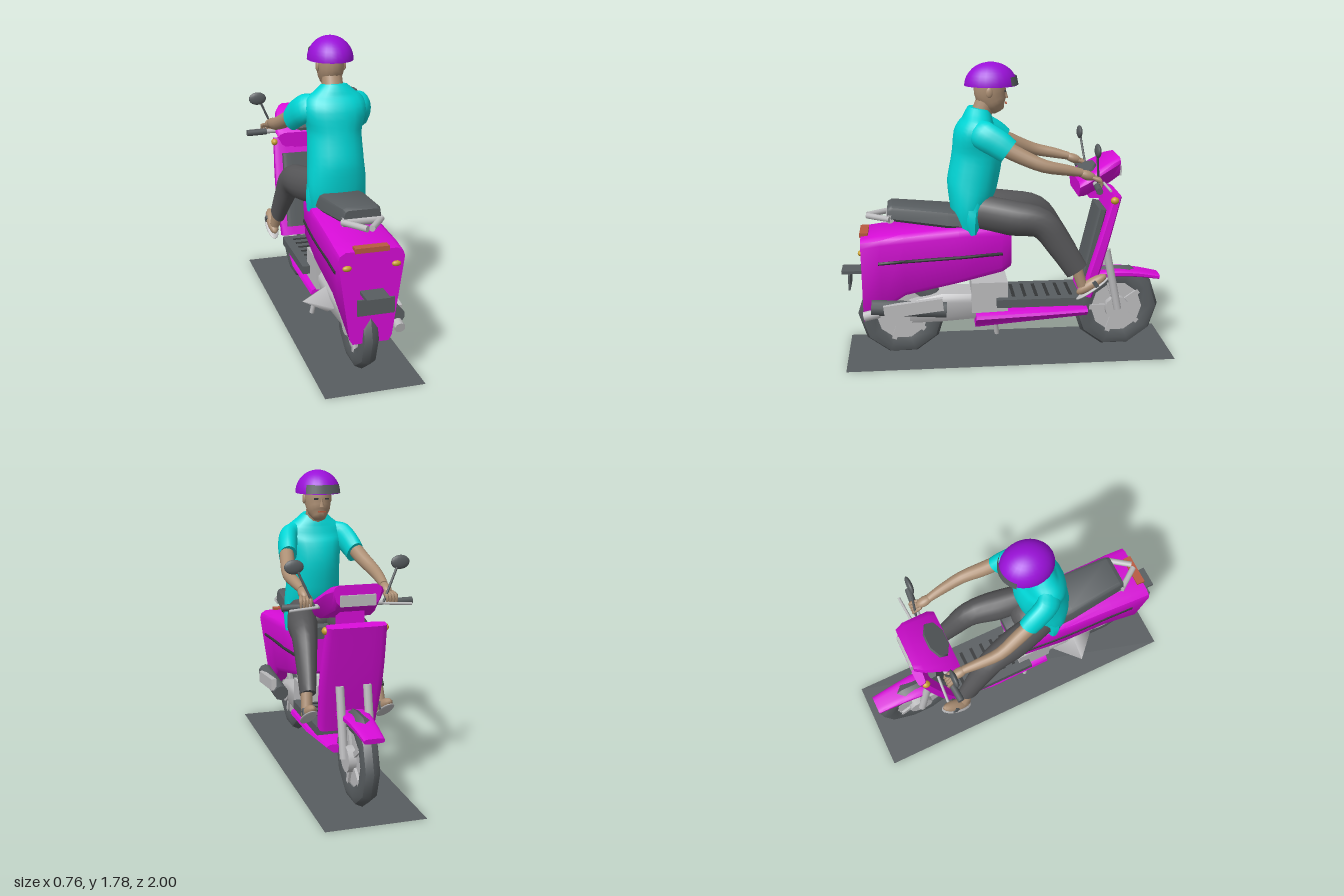
import * as THREE from 'three';
import { toCreasedNormals } from 'three/addons/utils/BufferGeometryUtils.js';

const V = (x, y, z) => new THREE.Vector3(x, y, z);

function material(name, color) {
  const m = new THREE.MeshStandardMaterial({ color });
  m.name = name;
  return m;
}

// Skin a list of equal-length rings, with capped ends; faces are turned outward
function loft(rings, crease = 0.7) {
  const n = rings[0].length, pos = [], idx = [];
  for (const r of rings) for (const p of r) pos.push(p.x, p.y, p.z);
  for (let i = 0; i < rings.length - 1; i++)
    for (let j = 0; j < n; j++) {
      const a = i * n + j, b = i * n + (j + 1) % n;
      idx.push(a, b, a + n, b, b + n, a + n);
    }
  for (const e of [0, rings.length - 1]) {
    const c = rings[e].reduce((s, p) => s.add(p), V(0, 0, 0)).divideScalar(n);
    const k = pos.length / 3;
    pos.push(c.x, c.y, c.z);
    for (let j = 0; j < n; j++) {
      const a = e * n + j, b = e * n + (j + 1) % n;
      if (e === 0) idx.push(k, b, a); else idx.push(k, a, b);
    }
  }
  let vol = 0;
  const at = i => V(pos[3 * i], pos[3 * i + 1], pos[3 * i + 2]);
  for (let i = 0; i < idx.length; i += 3) vol += at(idx[i]).dot(at(idx[i + 1]).cross(at(idx[i + 2])));
  if (vol < 0) idx.reverse();
  const g = new THREE.BufferGeometry();
  g.setAttribute('position', new THREE.Float32BufferAttribute(pos, 3));
  g.setIndex(idx);
  return toCreasedNormals(g, crease);
}

// Tapered tube through [x, y, z, radius sideways, radius across]; low power = boxier
function limb(stops, power = 1, steps = 12, sides = 16) {
  const path = new THREE.CatmullRomCurve3(stops.map(s => V(s[0], s[1], s[2])));
  const size = new THREE.CatmullRomCurve3(stops.map(s => V(s[3], s[4], 0)));
  const rings = [];
  const pw = v => Math.sign(v) * Math.pow(Math.abs(v), power);
  for (let i = 0; i <= steps; i++) {
    const t = i / steps, c = path.getPoint(t), d = path.getTangent(t), r = size.getPoint(t);
    const side = V(1, 0, 0).addScaledVector(d, -d.x).normalize();
    const up = d.clone().cross(side);
    rings.push(Array.from({ length: sides }, (_, j) => {
      const a = (j + 0.5) / sides * Math.PI * 2;
      return c.clone().addScaledVector(side, r.x * pw(Math.cos(a))).addScaledVector(up, r.y * pw(Math.sin(a)));
    }));
  }
  return loft(rings, power < 1 ? 0.6 : 1.2);
}

// Bevelled shell along z from [z, top, bottom, half width at top, half width at bottom]
function shell(sections) {
  return loft(sections.map(([z, t, b, wt, wb]) => {
    const c = Math.min(0.05, (t - b) * 0.3);
    const half = [[wt * 0.78, t], [wt * 0.95, t - c * 0.4], [wt, t - c], [wb, b + c * 0.6], [wb * 0.85, b]];
    return [...half.map(([x, y]) => V(x, y, z)), ...half.reverse().map(([x, y]) => V(-x, y, z))];
  }));
}

function rod(a, b, r0, r1 = r0, sides = 10) {
  const d = b.clone().sub(a), g = new THREE.CylinderGeometry(r1, r0, d.length(), sides);
  g.applyQuaternion(new THREE.Quaternion().setFromUnitVectors(V(0, 1, 0), d.normalize()));
  return g.translate((a.x + b.x) / 2, (a.y + b.y) / 2, (a.z + b.z) / 2);
}
const box = (w, h, d, x, y, z, tilt = 0) => new THREE.BoxGeometry(w, h, d).rotateX(tilt).translate(x, y, z);
const ball = (rx, ry, rz, x, y, z, tilt = 0) =>
  new THREE.SphereGeometry(1, 16, 12).scale(rx, ry, rz).rotateX(tilt).translate(x, y, z);

export function createModel() {
  const root = new THREE.Group();
  const paint = material('magenta paint', 0xd60cd6), purple = material('helmet purple', 0x9a10d8);
  const teal = material('shirt teal', 0x00d6d6), cloth = material('trouser charcoal', 0x565658);
  const skin = material('skin', 0xac8f74), rubber = material('dark grey rubber', 0x585d60);
  const silver = material('silver metal', 0xbcbcbe), amber = material('amber lens', 0xc8a030);
  const red = material('tail lens', 0xb85a40), black = material('black trim', 0x343638);
  rubber.side = purple.side = THREE.DoubleSide;
  const add = (name, geo, mat, parent = root) => {
    const m = new THREE.Mesh(geo, mat);
    m.name = name;
    parent.add(m);
  };

  // Ground plate
  add('groundPlate', new THREE.PlaneGeometry(0.57, 1.98).rotateX(-Math.PI / 2).translate(0, 0.01, -0.01), rubber);

  // Wheels
  for (const [name, z] of [['rearWheel', 0.645], ['frontWheel', -0.68]]) {
    const w = new THREE.Group();
    w.name = name;
    w.position.set(0, 0.27, z);
    root.add(w);
    const profile = [[0.16, -0.04], [0.21, -0.054], [0.25, -0.04], [0.27, 0], [0.25, 0.04], [0.21, 0.054], [0.16, 0.04]];
    add('tyre', toCreasedNormals(new THREE.LatheGeometry(profile.map(p => new THREE.Vector2(...p)), 10)
      .rotateZ(Math.PI / 2), 0.7), rubber, w);
    add('rim', rod(V(-0.03, 0, 0), V(0.03, 0, 0), 0.165, 0.165, 10), silver, w);
    add('hub', rod(V(-0.075, 0, 0), V(0.075, 0, 0), 0.075, 0.075, 12), silver, w);
    for (let i = 0; i < 5; i++) {
      const a = i / 5 * Math.PI * 2 + 0.3;
      add('spoke', box(0.09, 0.16, 0.03, 0, 0.09, 0).rotateX(a), silver, w);
    }
  }

  // Rear cowl, seat and floor
  add('rearCowl', shell([[0.875, 0.785, 0.25, 0.185, 0.12], [0.76, 0.80, 0.33, 0.185, 0.13], [0.62, 0.81, 0.42, 0.18, 0.14],
    [0.3, 0.835, 0.49, 0.172, 0.15], [0.04, 0.83, 0.55, 0.15, 0.14], [-0.015, 0.81, 0.58, 0.12, 0.12]]), paint);
  add('seat', shell([[0.715, 0.955, 0.885, 0.1, 0.105], [0.69, 0.968, 0.875, 0.108, 0.112], [0.36, 0.935, 0.83, 0.13, 0.14],
    [0.1, 0.89, 0.81, 0.13, 0.14], [-0.04, 0.86, 0.79, 0.09, 0.1]]), rubber);
  add('floorBoard', box(0.33, 0.05, 0.52, 0, 0.358, -0.185), rubber);
  for (let i = 0; i < 6; i++) add('floorRib', box(0.22, 0.006, 0.02, 0, 0.383, -0.38 + i * 0.07), black);
  add('underbody', shell([[0.2, 0.29, 0.17, 0.15, 0.055], [-0.2, 0.3, 0.21, 0.16, 0.08], [-0.49, 0.285, 0.235, 0.12, 0.09]]), paint);

  // Engine, stand and exhaust
  add('engineBlock', box(0.24, 0.19, 0.22, 0, 0.385, 0.115), silver);
  add('crankcase', shell([[0.6, 0.36, 0.22, 0.1, 0.08], [0.4, 0.41, 0.23, 0.12, 0.1], [0.18, 0.4, 0.24, 0.11, 0.09]]), silver);
  add('engineCover', new THREE.ConeGeometry(0.14, 0.15, 4).rotateZ(Math.PI / 2).scale(1, 0.6, 1).translate(-0.18, 0.31, 0.4), silver);
  add('kickStand', rod(V(-0.07, 0.25, 0.08), V(-0.105, 0.06, 0.055), 0.015), silver);
  add('muffler', rod(V(0.165, 0.365, 0.825), V(0.165, 0.335, 0.38), 0.048), rubber);
  add('heatShield', box(0.035, 0.075, 0.35, 0.207, 0.37, 0.575, 0.11), silver);
  add('exhaustTip', rod(V(0.17, 0.31, 0.87), V(0.17, 0.33, 0.78), 0.03), silver);

  // Tail fittings
  add('tailLight', box(0.19, 0.028, 0.05, 0, 0.79, 0.858), red);
  add('plateBracket', box(0.13, 0.018, 0.13, 0, 0.553, 0.935), rubber);
  add('rearPlate', box(0.205, 0.09, 0.012, 0, 0.5, 0.953), rubber);
  add('grabBar', rod(V(-0.11, 0.89, 0.7), V(0.11, 0.89, 0.7), 0.026), silver);

  // Front shield, fender and steering head
  add('frontShield', limb([[0, 0.385, -0.47, 0.165, 0.04], [0, 0.7, -0.56, 0.18, 0.035], [0, 1.01, -0.645, 0.17, 0.028]], 0.35), paint);
  add('innerLiner', limb([[0, 0.45, -0.455, 0.13, 0.025], [0, 0.92, -0.565, 0.13, 0.025]], 0.35), rubber);
  add('frontFender', limb([[0, 0.47, -0.47, 0.085, 0.022], [0, 0.492, -0.65, 0.08, 0.022], [0, 0.482, -0.8, 0.068, 0.02],
    [0, 0.457, -0.945, 0.058, 0.015]], 0.5), paint);
  add('steeringNeck', box(0.14, 0.12, 0.08, 0, 1.04, -0.53), paint);
  add('headset', shell([[-0.41, 1.1, 1.01, 0.19, 0.17], [-0.45, 1.13, 1.015, 0.2, 0.17], [-0.61, 1.22, 1.09, 0.165, 0.13],
    [-0.66, 1.235, 1.125, 0.135, 0.12]]), paint);
  add('headlight', box(0.2, 0.06, 0.02, 0, 1.15, -0.665), silver);
  add('dashboard', new THREE.CylinderGeometry(0.115, 0.125, 0.025, 8).rotateY(Math.PI / 8).scale(1, 1, 0.6)
    .rotateX(0.52).translate(0, 1.145, -0.475), rubber);
  add('handlebar', rod(V(-0.28, 1.095, -0.5), V(0.28, 1.095, -0.5), 0.014), silver);

  // Rider: body and head
  add('shirt', limb([[0, 0.8, 0.235, 0.15, 0.075], [0, 0.93, 0.235, 0.172, 0.11], [0, 1.08, 0.21, 0.165, 0.15],
    [0, 1.25, 0.18, 0.158, 0.15], [0, 1.38, 0.185, 0.185, 0.13], [0, 1.45, 0.175, 0.165, 0.095],
    [0, 1.49, 0.17, 0.115, 0.08], [0, 1.525, 0.165, 0.075, 0.065]], 0.95, 28, 20), teal);
  add('shirtHem', limb([[0, 0.795, 0.215, 0.175, 0.045], [0, 0.88, 0.22, 0.18, 0.075], [0, 1.0, 0.215, 0.165, 0.12]], 0.9), teal);
  add('hips', ball(0.165, 0.11, 0.15, 0, 0.89, 0.16), cloth);
  add('neck', rod(V(0, 1.47, 0.16), V(0, 1.6, 0.11), 0.062, 0.058, 14), skin);
  add('head', limb([[0, 1.505, 0.05, 0.035, 0.035], [0, 1.55, 0.075, 0.066, 0.075], [0, 1.62, 0.1, 0.08, 0.095],
    [0, 1.7, 0.1, 0.08, 0.09]]), skin);
  add('nose', new THREE.ConeGeometry(0.016, 0.05, 6).translate(0, 1.605, 0.008), skin);
  add('mouth', box(0.045, 0.007, 0.008, 0, 1.55, 0.006), red);
  add('helmet', new THREE.SphereGeometry(1, 24, 10, 0, Math.PI * 2, 0, Math.PI / 2).scale(0.132, 0.135, 0.155)
    .translate(0, 1.655, 0.095), purple);
  add('visor', new THREE.CylinderGeometry(0.138, 0.147, 0.05, 12, 1, true, Math.PI - 0.8, 1.6).scale(1, 1, 1.1)
    .translate(0, 1.685, 0.095), rubber);

  // Mirrored parts, left and right
  for (const s of [1, -1]) {
    const side = s > 0 ? 'left' : 'right';
    const P = (x, y, z) => V(s * x, y, z);
    const mir = stops => stops.map(p => [s * p[0], ...p.slice(1)]);

    // Scooter
    add(side + 'CowlStripe', limb(mir([[0.17, 0.637, 0.776, 0.01, 0.01], [0.166, 0.645, 0.62, 0.01, 0.01],
      [0.161, 0.658, 0.3, 0.01, 0.01], [0.145, 0.67, 0.04, 0.01, 0.01]]), 1, 9, 8), black);
    add(side + 'RackTube', rod(P(0.11, 0.89, 0.7), P(0.012, 0.89, 0.835), 0.018), silver);
    add(side + 'RearIndicator', ball(0.026, 0.016, 0.016, s * 0.137, 0.697, 0.877), amber);
    add(side + 'FrontIndicator', ball(0.022, 0.022, 0.025, s * 0.168, 0.985, -0.625), amber);
    add(side + 'Fork', rod(P(0.08, 0.66, -0.6), P(0.08, 0.27, -0.68), 0.024), silver);
    add(side + 'Grip', rod(P(0.25, 1.095, -0.5), P(0.376, 1.095, -0.49), 0.02), rubber);
    add(side + 'Lever', rod(P(0.19, 1.1, -0.55), P(0.35, 1.09, -0.56), 0.008), silver);
    add(side + 'MirrorStalk', rod(P(0.2, 1.1, -0.515), P(0.29, 1.3, -0.49), 0.007), rubber);
    add(side + 'Mirror', ball(0.055, 0.04, 0.017, s * 0.305, 1.315, -0.488), rubber);

    // Rider arm and hand
    add(side + 'Sleeve', limb(mir([[0.12, 1.415, 0.18, 0.05, 0.07], [0.165, 1.39, 0.15, 0.058, 0.085],
      [0.195, 1.34, 0.065, 0.056, 0.082], [0.208, 1.3, 0.01, 0.052, 0.075]])), teal);
    add(side + 'Arm', limb(mir([[0.205, 1.335, 0.06, 0.042, 0.05], [0.23, 1.275, -0.06, 0.042, 0.045], [0.257, 1.222, -0.19, 0.036, 0.038],
      [0.25, 1.195, -0.32, 0.03, 0.032], [0.24, 1.175, -0.41, 0.024, 0.024]])), skin);
    add(side + 'Hand', ball(0.03, 0.028, 0.055, s * 0.24, 1.16, -0.44, -0.35), skin);
    for (let i = 0; i < 4; i++)
      add(side + 'Finger', limb(mir([[0.215 + i * 0.016, 1.15, -0.47, 0.009, 0.009], [0.22 + i * 0.018, 1.125, -0.52, 0.009, 0.009],
        [0.22 + i * 0.018, 1.085, -0.515, 0.007, 0.007]]), 1, 5, 6), skin);

    // Rider leg, foot and sandal
    add(side + 'TrouserLeg', limb(mir([[0.085, 0.92, 0.2, 0.075, 0.105], [0.13, 0.885, -0.02, 0.09, 0.105], [0.165, 0.855, -0.19, 0.075, 0.09],
      [0.185, 0.72, -0.3, 0.06, 0.08], [0.205, 0.57, -0.4, 0.045, 0.07]]), 1, 16), cloth);
    add(side + 'Ankle', rod(P(0.21, 0.6, -0.39), P(0.22, 0.48, -0.43), 0.035, 0.032), skin);
    add(side + 'Foot', ball(0.037, 0.035, 0.105, s * 0.225, 0.488, -0.485, 0.55), skin);
    add(side + 'Sandal', ball(0.042, 0.012, 0.118, s * 0.228, 0.462, -0.49, 0.6), silver);
    add(side + 'SandalStrap', box(0.08, 0.045, 0.025, s * 0.226, 0.497, -0.505, 0.6), rubber);
    add(side + 'Ear', ball(0.01, 0.03, 0.02, s * 0.08, 1.62, 0.11), skin);
    add(side + 'Eye', box(0.024, 0.009, 0.008, s * 0.033, 1.625, 0.014), black);
  }
  return root;
}
